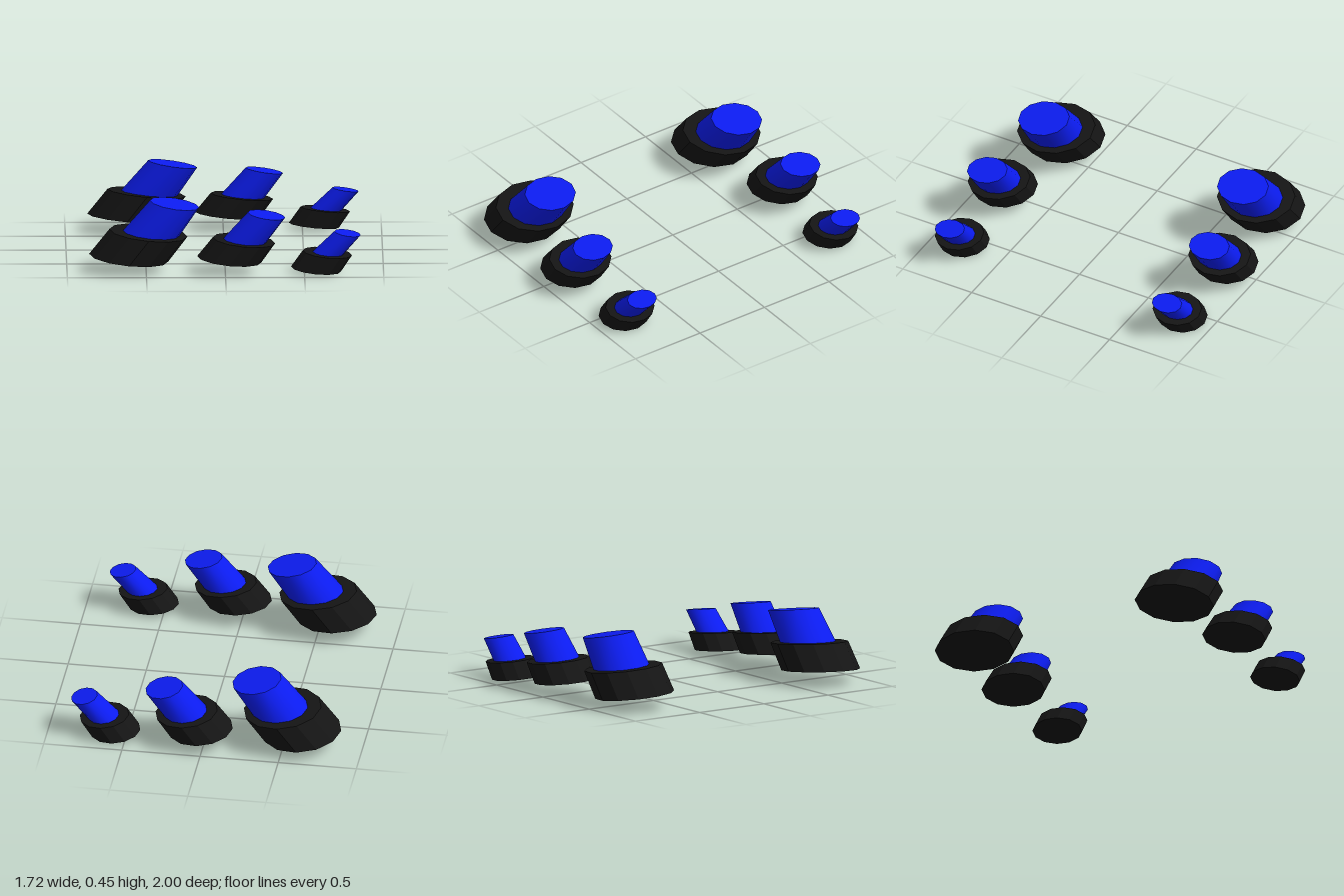
import * as THREE from 'three';
import { toCreasedNormals } from 'three/addons/utils/BufferGeometryUtils.js';

const SIDES = 12;

// Slanted closed cylinder between two tilted ellipses.
// Each end is { x, y, z, rx, rz, slope }; side is +1 or -1 for the row.
function slantedCylinder(bottom, top, side) {
  const geo = new THREE.CylinderGeometry(1, 1, 1, SIDES);
  const pos = geo.attributes.position;
  for (let i = 0; i < pos.count; i++) {
    const e = pos.getY(i) > 0 ? top : bottom;
    const dx = pos.getX(i) * e.rx;
    const dz = pos.getZ(i) * e.rz;
    pos.setXYZ(i, e.x + dx, e.y - e.slope * dx - 0.05 * dz * side, e.z * side + dz);
  }
  return geo;
}

const end = (x, y, z, rx, rz, slope) => ({ x, y, z, rx, rz, slope });

// Collar bottom and top, then post bottom and top, for each size
const STUDS = [
  { name: 'large',
    collar: [end(-0.61, 0.083, 0.725, 0.25, 0.25, 0.1), end(-0.485, 0.242, 0.725, 0.247, 0.247, 0.1)],
    post: [end(-0.482, 0.222, 0.727, 0.18, 0.177, 0.1), end(-0.32, 0.427, 0.722, 0.155, 0.165, 0.15)] },
  { name: 'medium',
    collar: [end(0.025, 0.085, 0.8, 0.203, 0.2, 0.1), end(0.118, 0.207, 0.8, 0.197, 0.197, 0.1)],
    post: [end(0.11, 0.19, 0.8, 0.137, 0.143, 0.1), end(0.26, 0.37, 0.805, 0.118, 0.131, 0.15)] },
  { name: 'small',
    collar: [end(0.573, 0.02, 0.79, 0.158, 0.157, 0.1), end(0.645, 0.124, 0.79, 0.156, 0.155, 0.1)],
    post: [end(0.636, 0.11, 0.79, 0.098, 0.105, 0.1), end(0.773, 0.25, 0.788, 0.083, 0.098, 0.15)] },
];

export function createModel() {
  const model = new THREE.Group();
  model.name = 'slantedStuds';
  const black = new THREE.MeshStandardMaterial({ color: 0x151515, flatShading: true });
  const blue = new THREE.MeshStandardMaterial({ color: 0x0c1cf0 });

  // Two mirrored rows of three studs
  for (const side of [1, -1]) {
    const row = new THREE.Group();
    row.name = side > 0 ? 'frontRow' : 'backRow';
    for (const { name, collar, post } of STUDS) {
      const stud = new THREE.Group();
      stud.name = `${name}Stud`;

      // Wide faceted collar
      const collarMesh = new THREE.Mesh(slantedCylinder(...collar, side), black);
      collarMesh.name = 'collar';

      // Smooth tapered post with a crisp cap
      const postMesh = new THREE.Mesh(toCreasedNormals(slantedCylinder(...post, side), 0.75), blue);
      postMesh.name = 'post';

      stud.add(collarMesh, postMesh);
      row.add(stud);
    }
    model.add(row);
  }
  return model;
}
